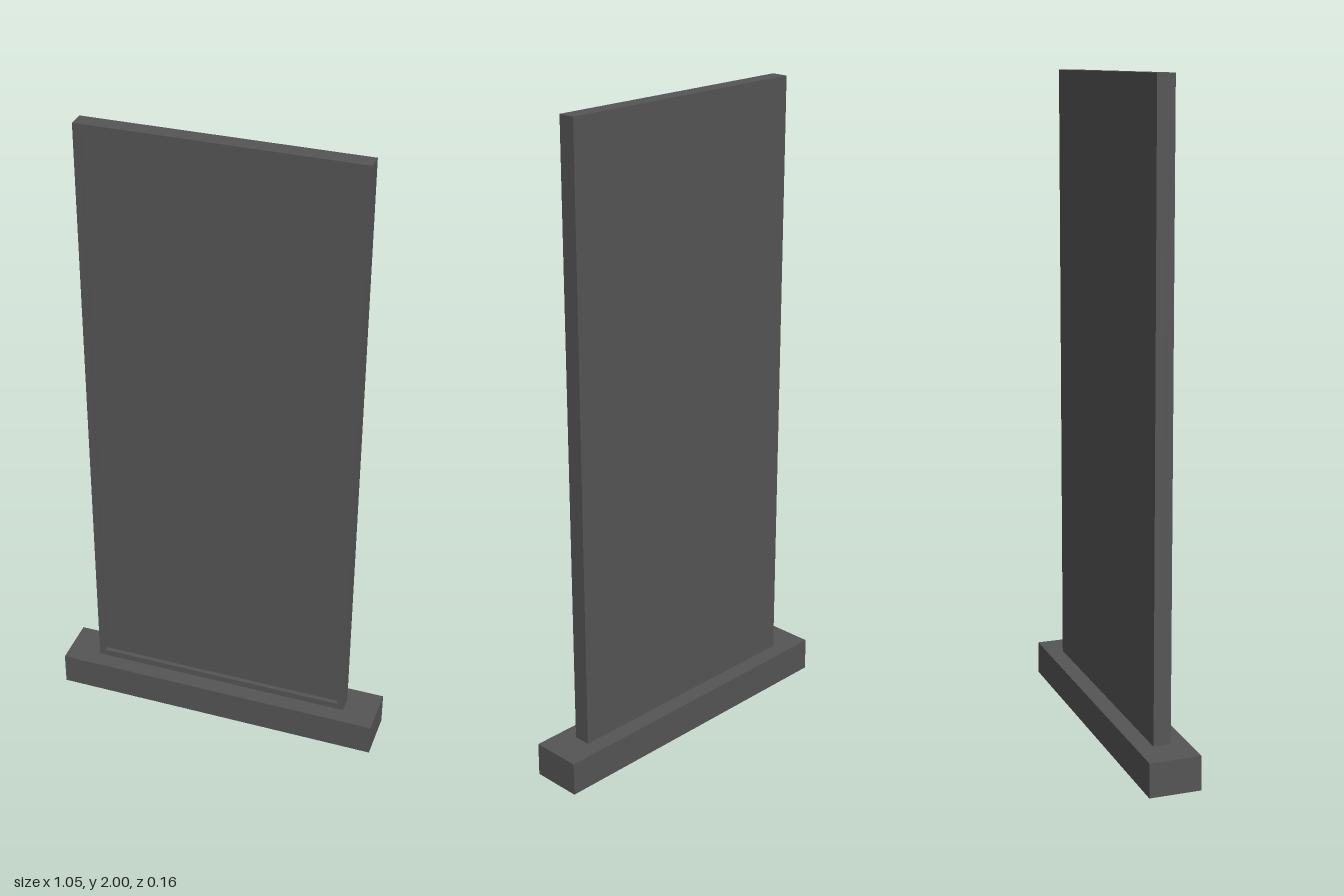
import * as THREE from 'three';

const WIDTH = 0.842, TOP = 2, BASE_H = 0.105, DEPTH = 0.053;
const BORDER = 0.021, RECESS = 0.014;

// Rectangle from two corners, counter-clockwise
function rectPoints(x, y0, y1) {
  return [[-x, y0], [x, y0], [x, y1], [-x, y1]].map(([a, b]) => new THREE.Vector2(a, b));
}

export function createModel() {
  const group = new THREE.Group();
  const material = new THREE.MeshStandardMaterial({ color: 0x555555 });

  function add(name, geometry, x, y, z) {
    const mesh = new THREE.Mesh(geometry, material);
    mesh.name = name;
    mesh.position.set(x, y, z);
    group.add(mesh);
  }

  // Floor stand
  add('base', new THREE.BoxGeometry(1.053, BASE_H, 0.158), 0, BASE_H / 2, 0);

  // Solid panel, its front face forming the recessed screen
  const panelDepth = DEPTH - RECESS;
  add('screenPanel', new THREE.BoxGeometry(WIDTH, TOP - BASE_H, panelDepth),
    0, (TOP + BASE_H) / 2, -RECESS / 2);

  // Thin raised border around the screen
  const border = new THREE.Shape(rectPoints(WIDTH / 2, BASE_H, TOP));
  border.holes.push(new THREE.Path(
    rectPoints(WIDTH / 2 - BORDER, BASE_H + BORDER, TOP - BORDER).reverse()));
  add('screenBorder', new THREE.ExtrudeGeometry(border, { depth: RECESS, bevelEnabled: false }),
    0, 0, DEPTH / 2 - RECESS);

  return group;
}
